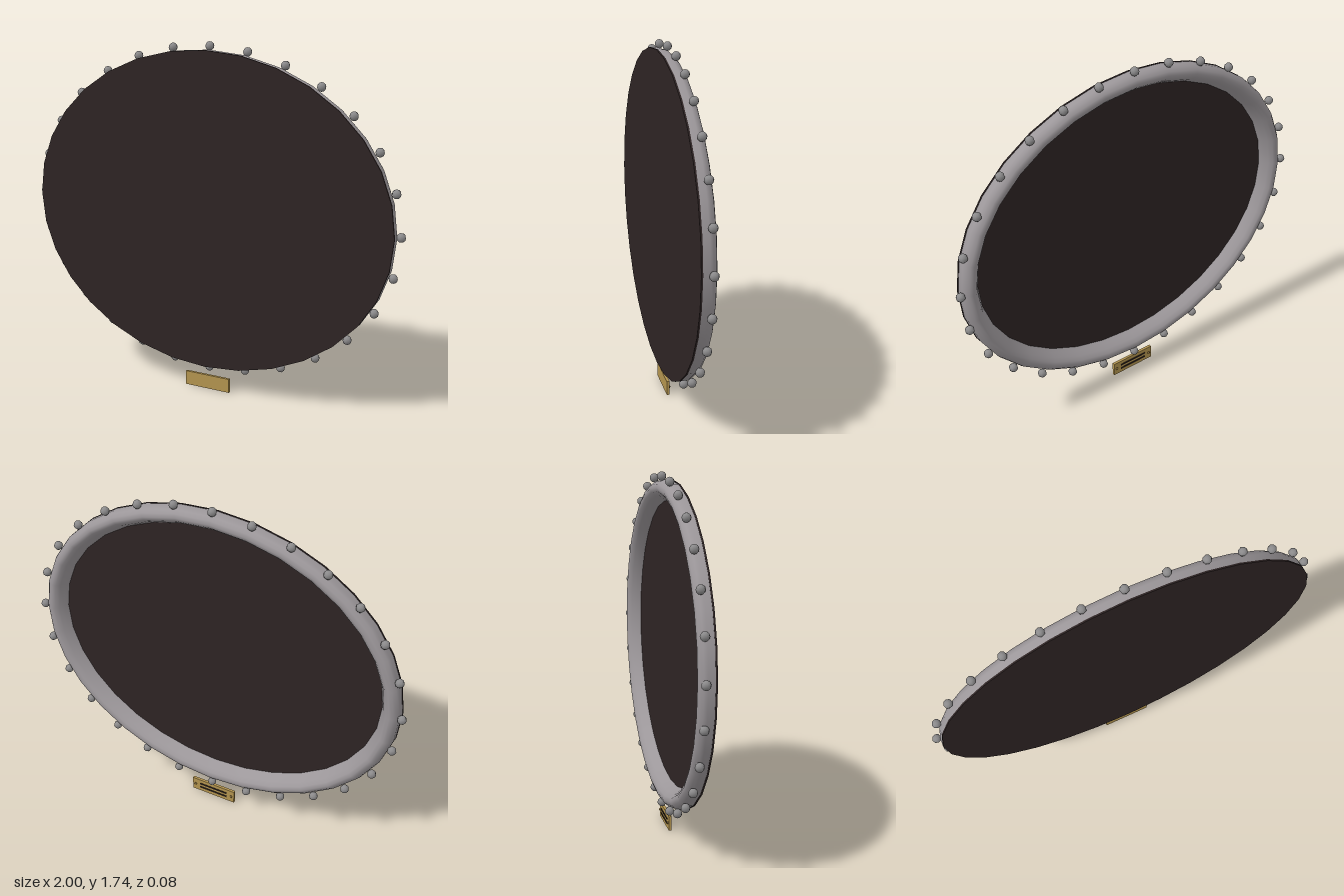
import * as THREE from 'three';

const RX = 0.965, RY = 0.787, CY = 0.912, SEGMENTS = 32;

const material = (name, color, side = THREE.FrontSide) => {
  const m = new THREE.MeshStandardMaterial({ color, side });
  m.name = name;
  return m;
};

// Sweeps a profile of [inset, z] pairs around the oval
function ovalRing(profile) {
  const positions = [], indices = [], n = profile.length;
  for (let i = 0; i < SEGMENTS; i++) {
    const a = (i / SEGMENTS) * Math.PI * 2;
    for (const [inset, z] of profile) {
      positions.push(Math.cos(a) * (RX - inset), Math.sin(a) * (RY - inset), z);
    }
    for (let j = 0; j < n - 1; j++) {
      const p = i * n + j, q = ((i + 1) % SEGMENTS) * n + j;
      indices.push(p, p + 1, q, q, p + 1, q + 1);
    }
  }
  const geometry = new THREE.BufferGeometry();
  geometry.setAttribute('position', new THREE.Float32BufferAttribute(positions, 3));
  geometry.setIndex(indices);
  geometry.computeVertexNormals();
  return geometry;
}

export function createModel() {
  const group = new THREE.Group();
  const dark = material('dark panel', 0x2e2424);
  const silver = material('frame silver', 0x9c979a, THREE.DoubleSide);
  const pearl = material('bead grey', 0x8c8b8c);
  const gold = material('plaque gold', 0xb3944f);
  const bronze = material('screw bronze', 0x7d6434);
  const ink = material('engraving dark', 0x2a2018);

  const add = (name, geometry, mat, x, y, z, parent = group) => {
    const mesh = new THREE.Mesh(geometry, mat);
    mesh.name = name;
    mesh.position.set(x, y, z);
    parent.add(mesh);
    return mesh;
  };

  // Oval panel closing the front
  const panel = new THREE.CylinderGeometry(1, 1, 0.008, SEGMENTS);
  panel.rotateX(Math.PI / 2).rotateZ(Math.PI / 2).scale(RX, RY, 1);
  add('panel', panel, dark, 0, CY, 0.035);

  // Rounded frame moulding behind the panel
  const profile = [
    [0.002, 0.032], [0.001, 0.0], [0.008, -0.017], [0.022, -0.032], [0.04, -0.038],
    [0.058, -0.032], [0.074, -0.014], [0.088, 0.01], [0.1, 0.032],
  ];
  add('frame', ovalRing(profile), silver, 0, CY, 0);

  // Beads evenly spaced around the rim
  const beads = new THREE.Group();
  beads.name = 'beads';
  group.add(beads);
  const bead = new THREE.SphereGeometry(0.022, 8, 6);
  const path = new THREE.EllipseCurve(0, CY, 0.978, 0.802);
  path.getSpacedPoints(28).slice(0, 28).forEach((p) => add('bead', bead, pearl, p.x, p.y, -0.013, beads));

  // Name plaque below, with engraved rules and screws on the back
  const plaque = new THREE.Group();
  plaque.name = 'plaque';
  plaque.position.set(0, 0.036, 0.006);
  group.add(plaque);
  add('plaquePlate', new THREE.BoxGeometry(0.244, 0.071, 0.014), gold, 0, 0, 0, plaque);
  for (const y of [0.011, -0.011]) {
    add('engravedRule', new THREE.BoxGeometry(0.16, 0.009, 0.003), ink, 0, y, -0.008, plaque);
  }
  const screw = new THREE.SphereGeometry(0.007, 8, 6);
  for (const x of [-0.106, 0.106]) add('screw', screw, bronze, x, 0, -0.007, plaque);

  return group;
}
